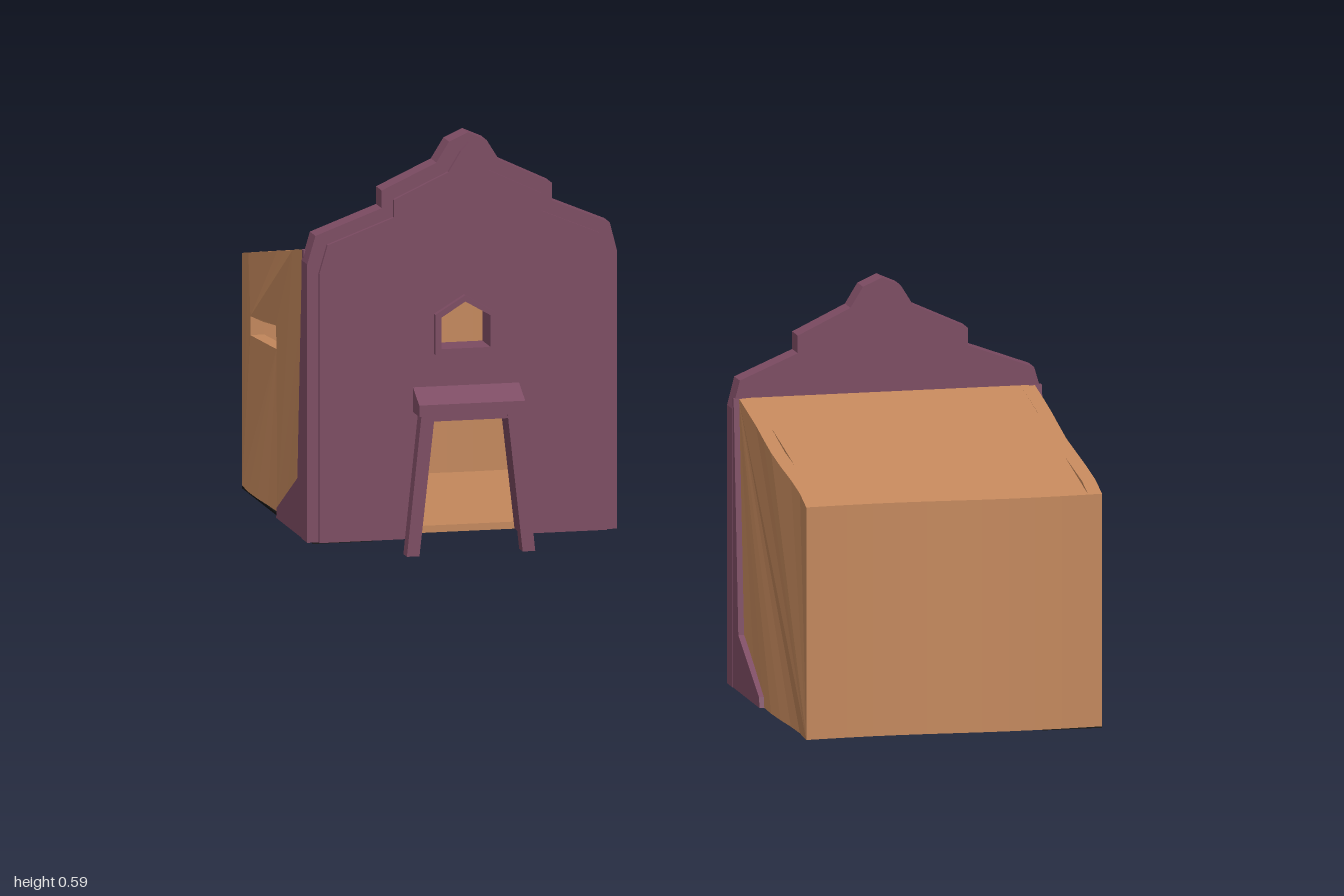
import * as THREE from 'three';

const mat = (name, color) => {
  const m = new THREE.MeshStandardMaterial({ color });
  m.name = name;
  return m;
};
const vecs = (pts) => pts.map(([x, y]) => new THREE.Vector2(x, y));

// Extrude an outline (with optional holes) from z0 to z1
function slab(pts, z0, z1, holes = []) {
  const shape = new THREE.Shape(vecs(pts));
  holes.forEach((h) => shape.holes.push(new THREE.Path(vecs(h))));
  return new THREE.ExtrudeGeometry(shape, { depth: z1 - z0, bevelEnabled: false }).translate(0, 0, z0);
}

// Extrude a (z, y) outline sideways from x0 to x1
function sideways(pts, x0, x1, holes = [], steps = 1) {
  const shape = new THREE.Shape(vecs(pts));
  holes.forEach((h) => shape.holes.push(new THREE.Path(vecs(h))));
  const g = new THREE.ExtrudeGeometry(shape, { depth: x1 - x0, steps, bevelEnabled: false });
  return g.rotateY(-Math.PI / 2).translate(x1, 0, 0);
}

// Slight hand-made waviness that grows toward the back of the house
function wobble(g) {
  const p = g.attributes.position;
  for (let i = 0; i < p.count; i++) {
    const x = p.getX(i), z = p.getZ(i);
    const t = Math.min(1, Math.max(0, (-0.6 - z) / 0.4));
    p.setX(i, x + t * 0.004 * Math.sin(z * 22));
    p.setZ(i, z + t * 0.005 * Math.sin((x + 0.16) * 15));
  }
  g.computeVertexNormals();
  return g;
}

export function createModel() {
  const plaster = mat('tan plaster', 0xc4885c);
  const trim = mat('plum trim', 0x7c4b62);
  const dark = mat('dark base', 0x111111);

  function house(name) {
    const group = new THREE.Group();
    group.name = name;
    const add = (part, geometry, material) => {
      const m = new THREE.Mesh(geometry, material);
      m.name = part;
      group.add(m);
      return m;
    };
    const L = -0.374, R = 0.05, T = 0.02;

    // Sloping roof, back wall and floor as one bent shell
    add('roofBackAndFloor', wobble(sideways([
      [-0.6, 0.02], [-0.6, 0.03], [-0.975, 0.03], [-0.975, 0.315],
      [-0.6, 0.395], [-0.6, 0.43], [-0.997, 0.35], [-0.997, 0.02],
    ], L + T, R - T, [], 10)), plaster);

    // Side walls, the left-hand one with a vent slot
    const profile = [];
    for (let i = 0; i <= 8; i++) profile.push([-0.997 + 0.397 * i / 8, 0.02]);
    for (let i = 8; i >= 0; i--) profile.push([-0.997 + 0.397 * i / 8, 0.35 + 0.01 * i]);
    const slot = [[-0.935, 0.245], [-0.935, 0.272], [-0.87, 0.276], [-0.805, 0.283], [-0.802, 0.25]];
    add('slottedWall', wobble(sideways(profile, L, L + T, [slot])), plaster);
    add('plainWall', wobble(sideways(profile, R - T, R)), plaster);

    // Stepped gable facade with door and window openings
    const half = [[0.222, 0.02], [0.222, 0.415], [0.211, 0.455], [0.122, 0.49], [0.122, 0.515],
      [0.045, 0.551], [0.027, 0.58]];
    const gable = (inX, inY) => {
      const at = ([x, y], s) => [
        -0.155 + s * Math.max(0, x - inX) - (x > 0.1 ? 0.008 * (x - 0.1) / 0.12 : 0),
        y > 0.1 ? y - inY : y];
      return [...half.map((p) => at(p, 1)), [-0.155, 0.592 - inY],
        ...half.slice().reverse().map((p) => at(p, -1))];
    };
    const door = [[-0.224, 0.02001], [-0.08, 0.02001], [-0.1, 0.195], [-0.212, 0.195]];
    const pane = [[-0.196, 0.289], [-0.126, 0.289], [-0.126, 0.334], [-0.162, 0.355], [-0.196, 0.334]];
    // the doorway is cut straight into the bottom edge
    const withDoor = (pts) => [...pts, door[0], door[3], door[2], door[1]];
    add('facade', slab(withDoor(gable(0, 0)), -0.6, -0.567, [pane]), trim);
    add('facadePanel', slab(withDoor(gable(0.016, 0.013)), -0.567, -0.561, [pane]), trim);

    // Window surround
    const surround = [[-0.205, 0.281], [-0.119, 0.281], [-0.119, 0.338], [-0.162, 0.364], [-0.205, 0.338]];
    add('windowFrame', slab(surround, -0.561, -0.552, [pane]), trim);

    // Buttress plates running back along both sides
    const buttress = [[-0.595, 0.02], [-0.755, 0.02], [-0.752, 0.035], [-0.63, 0.1], [-0.602, 0.43], [-0.595, 0.43]];
    add('slottedSideButtress', sideways(buttress, -0.384, -0.366), trim);
    add('plainSideButtress', sideways(buttress, 0.04, 0.058), trim);

    // Porch: splayed legs, cross beam and sloping canopy
    for (const s of [-1, 1]) {
      const leg = [[0.092, 0], [0.074, 0], [0.052, 0.2], [0.071, 0.2]].map(([x, y]) => [-0.158 + s * x, y]);
      add(s < 0 ? 'rightPorchLeg' : 'leftPorchLeg', slab(leg, -0.556, -0.535), trim);
    }
    add('porchBeam', new THREE.BoxGeometry(0.136, 0.012, 0.026).translate(-0.158, 0.196, -0.549), trim);
    add('porchCanopy', sideways([
      [-0.565, 0.2], [-0.524, 0.2], [-0.524, 0.216], [-0.565, 0.237],
    ], -0.235, -0.083), trim);

    // Dark strip under the slotted side
    add('baseStrip', new THREE.BoxGeometry(0.085, 0.003, 0.42).translate(-0.333, 0.0185, -0.782), dark);
    return group;
  }

  const model = new THREE.Group();
  model.name = 'facingHouses';
  const back = house('backHouse');
  const front = house('frontHouse');
  front.rotation.y = Math.PI;
  model.add(back, front);
  return model;
}
